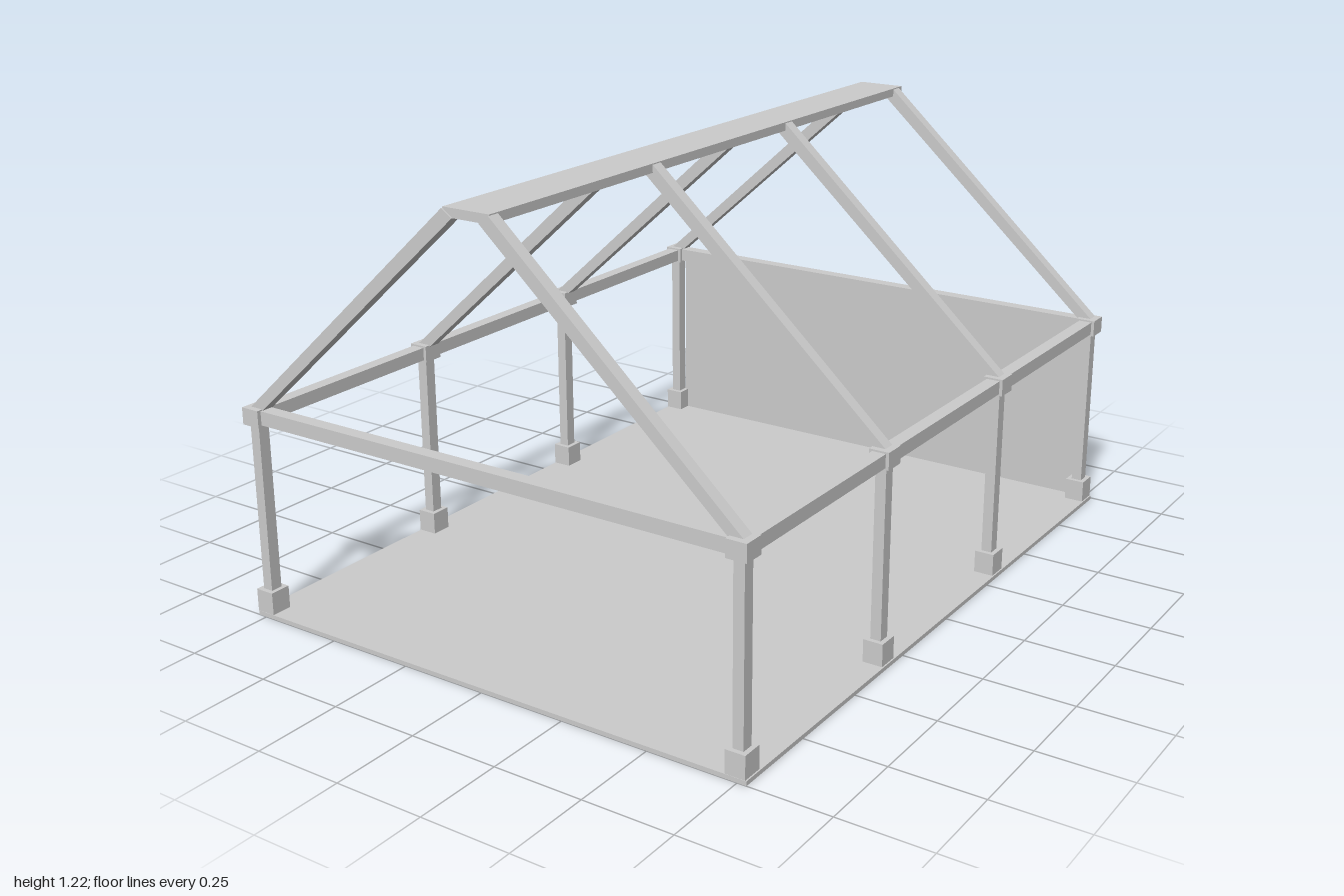
import * as THREE from 'three';

const material = new THREE.MeshStandardMaterial({ color: 0xcccccc, flatShading: true });

// Box given by its min/max on each axis
function box(parent, name, [x0, x1], [y0, y1], [z0, z1]) {
  const mesh = new THREE.Mesh(new THREE.BoxGeometry(x1 - x0, y1 - y0, z1 - z0), material);
  mesh.position.set((x0 + x1) / 2, (y0 + y1) / 2, (z0 + z1) / 2);
  mesh.name = name;
  parent.add(mesh);
}

const around = (c, half) => [c - half, c + half];

// Sloped beam from the eave to the ridge; side is +1 or -1
function rafter(parent, side, z) {
  const depth = 0.035, offset = -0.006;
  const points = [[0.04, 1.193], [0.72, 0.585], [0.765, 0.585], [0.07, 1.214]]
    .map(([x, y]) => new THREE.Vector2(side * x + offset, y));
  const geometry = new THREE.ExtrudeGeometry(new THREE.Shape(points), { depth, bevelEnabled: false });
  const mesh = new THREE.Mesh(geometry, material);
  mesh.position.z = z - depth / 2;
  mesh.name = side > 0 ? 'leftRafter' : 'rightRafter';
  parent.add(mesh);
}

export function createModel() {
  const group = new THREE.Group();
  group.name = 'openFrameShelter';

  // Floor, back wall and ridge board
  box(group, 'floor', [-0.777, 0.775], [0, 0.012], [-0.99, 1]);
  box(group, 'backWall', [-0.73, 0.735], [0.012, 0.57], [-0.979, -0.973]);
  box(group, 'ridgeBoard', [-0.076, 0.064], [1.193, 1.217], [-1, 0.977]);

  // Four bays of posts with footings, eave joints and rafters
  const bays = [0.969, 0.326, -0.32, -0.96];
  for (const side of [1, -1]) {
    const x = side * 0.747 - 0.004;
    for (const z of bays) {
      box(group, 'footing', around(x, 0.028), [0.01, 0.075], around(z, 0.03));
      box(group, 'post', around(x, 0.015), [0.07, 0.56], around(z, 0.017));
      box(group, 'eaveJoint', around(x, 0.028), [0.545, 0.592], around(z, 0.03));
      rafter(group, side, z - 0.005);
    }
    // Beam along the eave
    box(group, side > 0 ? 'leftEaveBeam' : 'rightEaveBeam', around(x, 0.019), [0.55, 0.587], [-0.96, 0.969]);
  }

  // Cross beams at the front and back
  box(group, 'frontCrossBeam', [-0.74, 0.735], [0.55, 0.589], around(bays[0], 0.019));
  box(group, 'backCrossBeam', [-0.74, 0.735], [0.55, 0.589], around(bays[3], 0.019));
  return group;
}
